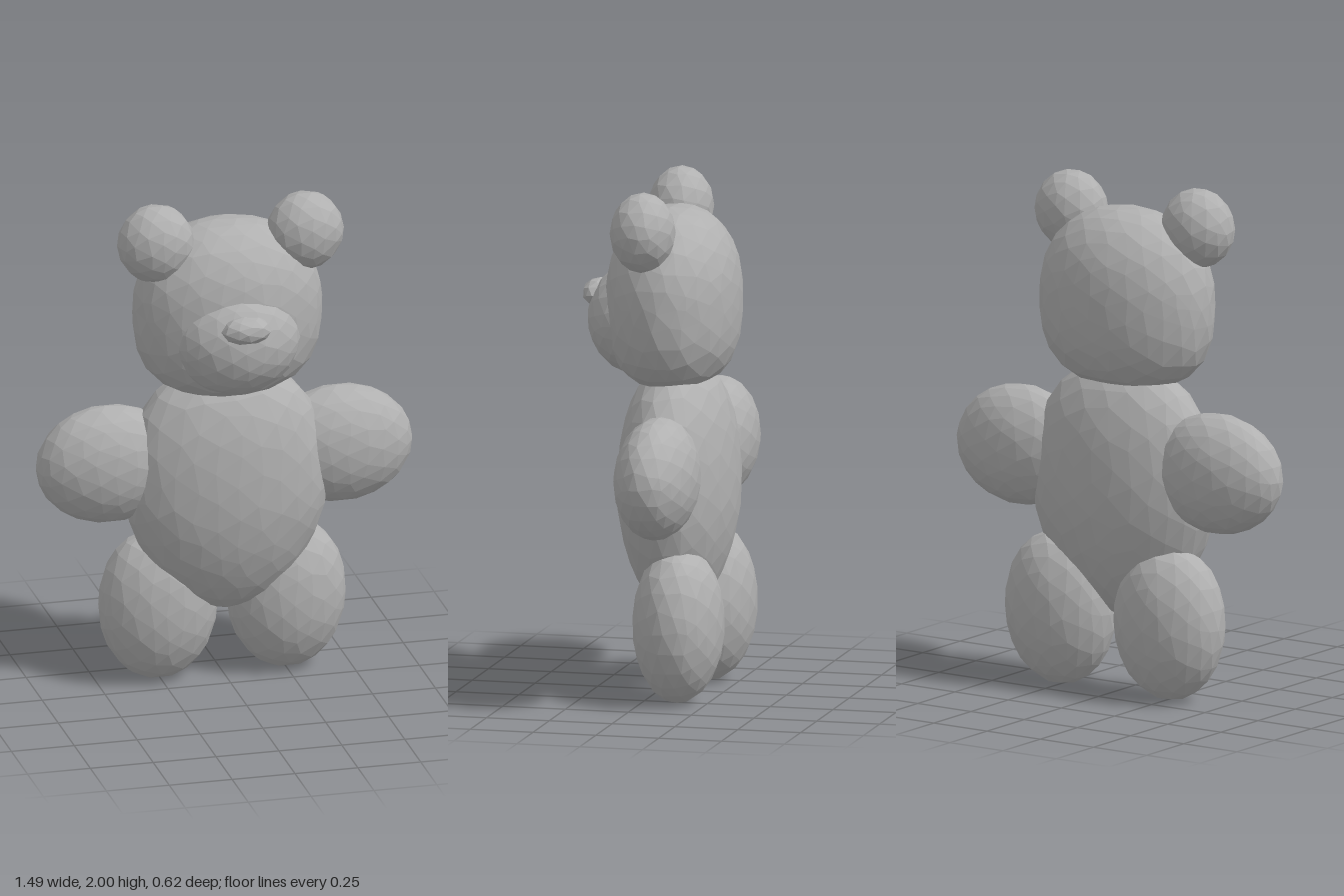
import * as THREE from 'three';

const fur = new THREE.MeshStandardMaterial({ color: 0xb0b0b0, flatShading: true });
fur.name = 'greyFur';

// Faceted rounded blob. The exponents set how full the upper and lower halves are (2 = ellipsoid).
function blob(name, [x, y, z], [rx, ry, rz], detail, upper = 2, lower = 2) {
  const geometry = new THREE.IcosahedronGeometry(1, detail);
  const p = geometry.attributes.position;
  const d = new THREE.Vector3();
  const wobble = 0.16 / (detail + 1);
  for (let i = 0; i < p.count; i++) {
    d.fromBufferAttribute(p, i);
    // slide vertices along the surface for an irregular, hand-cut facet pattern
    const { x: a, y: b, z: c } = d;
    d.x += wobble * Math.sin(11 * b + 17 * c + 5 * a);
    d.y += wobble * Math.sin(13 * c + 19 * a + 3 * b);
    d.z += wobble * Math.sin(15 * a + 12 * b + 7 * c);
    d.normalize();
    const n = d.y > 0 ? upper : lower;
    const t = 1.008 * Math.pow(Math.pow(Math.hypot(d.x, d.z), n) + Math.pow(Math.abs(d.y), n), -1 / n);
    p.setXYZ(i, d.x * t * rx, d.y * t * ry, d.z * t * rz);
  }
  geometry.computeVertexNormals();
  const mesh = new THREE.Mesh(geometry, fur);
  mesh.name = name;
  mesh.position.set(x, y, z);
  return mesh;
}

export function createModel() {
  const bear = new THREE.Group();
  bear.name = 'teddyBear';

  // Torso, narrower towards the bottom
  bear.add(blob('body', [0, 0.79, -0.075], [0.4, 0.5, 0.225], 4, 2.4, 1.75));

  // Head with muzzle and nose
  bear.add(blob('head', [0, 1.55, -0.055], [0.37, 0.35, 0.255], 4, 2.2, 2.8));
  bear.add(blob('muzzle', [0, 1.46, 0.08], [0.25, 0.22, 0.2], 3));
  bear.add(blob('nose', [0, 1.55, 0.245], [0.1, 0.055, 0.062], 1));

  // Paired ears, arms and legs
  for (const [side, s] of [['left', 1], ['right', -1]]) {
    bear.add(blob(side + 'Ear', [s * 0.297, 1.845, -0.005], [0.15, 0.155, 0.125], 2));
    bear.add(blob(side + 'Arm', [s * 0.46, 0.915, -0.105], [0.285, 0.235, 0.158], 3));
    bear.add(blob(side + 'Leg', [s * 0.255, 0.305, -0.137], [0.232, 0.3, 0.173], 3, 2.2, 2));
  }
  return bear;
}
